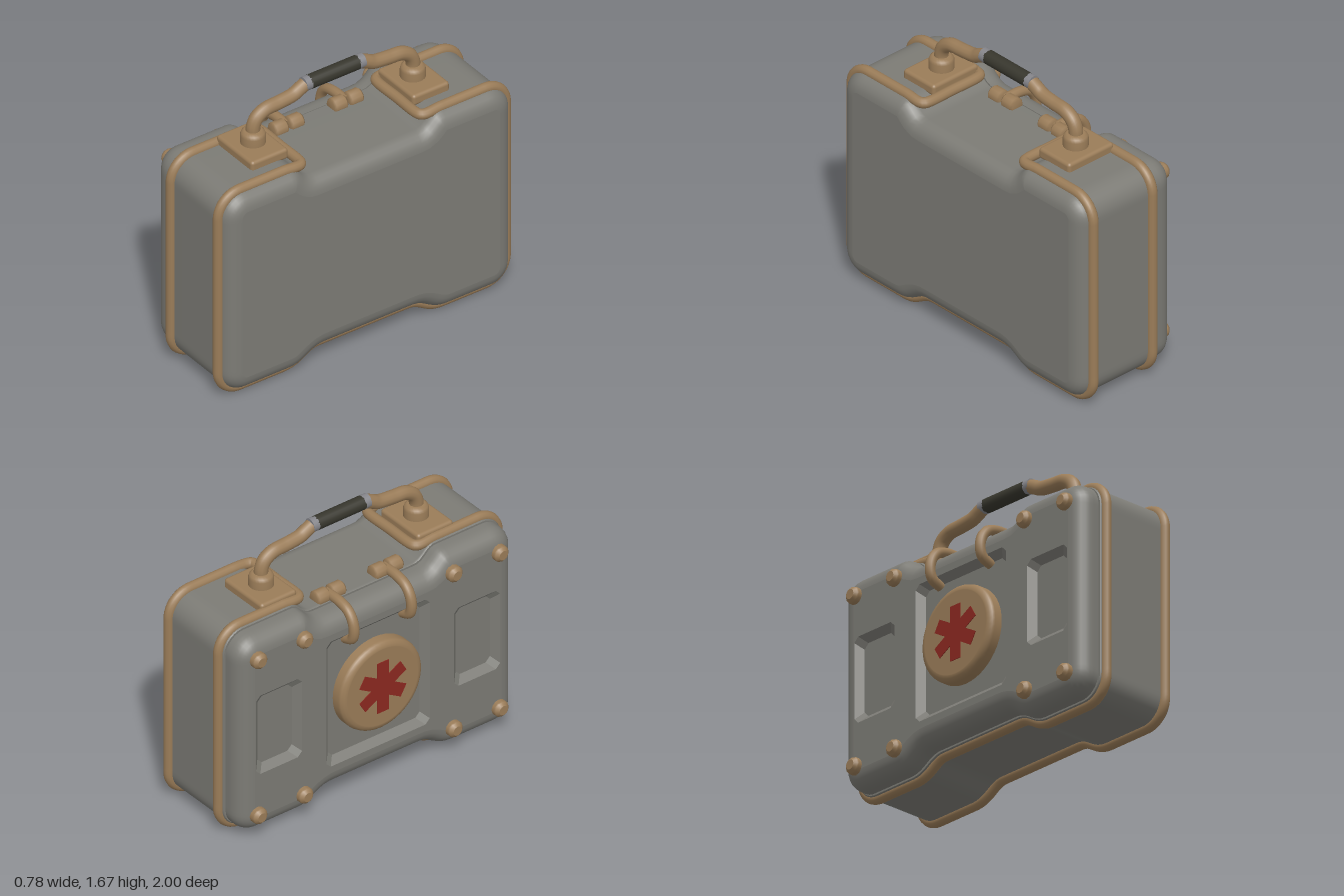
import * as THREE from 'three';
import { RoundedBoxGeometry } from 'three/addons/geometries/RoundedBoxGeometry.js';

const mat = (name, color) => Object.assign(new THREE.MeshStandardMaterial({ color }), { name });
const V = (x, y, z) => new THREE.Vector3(x, y, z);
const V2 = (x, y) => new THREE.Vector2(x, y);

// Right half of the case outline in (z, y), bottom centre to top centre
function halfOutline() {
  const p = new THREE.Path();
  p.moveTo(0, 0.115);
  p.lineTo(0.3, 0.115);
  p.bezierCurveTo(0.4, 0.115, 0.42, 0.035, 0.54, 0.035);
  p.lineTo(0.83, 0.035);
  p.absarc(0.83, 0.175, 0.14, -Math.PI / 2, 0);
  p.lineTo(0.97, 1.195);
  p.absarc(0.83, 1.195, 0.14, 0, Math.PI / 2);
  p.lineTo(0.5, 1.335);
  p.bezierCurveTo(0.44, 1.335, 0.42, 1.255, 0.36, 1.255);
  p.lineTo(0, 1.255);
  return p.getSpacedPoints(110);
}

// Moves a closed counter-clockwise outline inwards
function inset(pts, d) {
  const n = pts.length;
  return pts.map((p, i) => {
    const t = pts[(i + 1) % n].clone().sub(pts[(i + n - 1) % n]).normalize();
    return V2(p.x - t.y * d, p.y + t.x * d);
  });
}

// Skin between rings [x, points]; rising x faces outwards, falling x inwards
function loft(rings, flat = false) {
  const n = rings[0][1].length, pos = [], idx = [];
  rings.forEach(([x, pts]) => pts.forEach(p => pos.push(x, p.y, p.x)));
  for (let r = 0; r < rings.length - 1; r++) {
    for (let j = 0; j < n; j++) {
      const a = r * n + j, b = r * n + (j + 1) % n;
      idx.push(a, a + n, b, b, a + n, b + n);
    }
  }
  let g = new THREE.BufferGeometry();
  g.setAttribute('position', new THREE.Float32BufferAttribute(pos, 3));
  g.setIndex(idx);
  if (flat) g = g.toNonIndexed();
  g.computeVertexNormals();
  return g;
}

// Flat face at x, looking along dir (-1 or 1)
function cap(pts, x, dir, holes = []) {
  const s = new THREE.Shape(pts);
  holes.forEach(h => s.holes.push(new THREE.Path(h)));
  return new THREE.ShapeGeometry(s).rotateY(dir * Math.PI / 2).translate(x, 0, 0);
}

// Chamfered rectangle in (z, y), shrunk by t
function panel(z0, z1, y0, y1, t = 0) {
  const a = z0 + t, b = z1 - t, c = y0 + t, d = y1 - t, k = 0.03;
  return [V2(a + k, c), V2(b - k, c), V2(b, c + k), V2(b, d - k),
    V2(b - k, d), V2(a + k, d), V2(a, d - k), V2(a, c + k)];
}

export function createModel() {
  const model = new THREE.Group();
  model.name = 'medicalCase';
  const grey = mat('caseGrey', 0x7c7b75);
  const tan = mat('trimTan', 0x9a7c58);
  const dark = mat('gripDark', 0x37362d);
  const steel = mat('collarGrey', 0x85858a);
  const red = mat('emblemRed', 0x8c2820);

  const add = (name, geo, m, x = 0, y = 0, z = 0) => {
    const mesh = new THREE.Mesh(geo, m);
    mesh.name = name;
    mesh.position.set(x, y, z);
    model.add(mesh);
    return mesh;
  };
  const lathe = (pts, seg) => new THREE.LatheGeometry(pts.map(p => V2(...p)), seg);
  const tube = (pts, r, seg, closed = false) => new THREE.TubeGeometry(
    new THREE.CatmullRomCurve3(pts, closed, 'centripetal'), seg, r, 12, closed);

  const half = halfOutline();
  const outline = [...half, ...half.slice(1, -1).reverse().map(p => V2(-p.x, p.y))];

  // Main shell with rounded far edge
  const steps = [0, 1, 2, 3, 4, 5, 6].map(i => i / 6 * Math.PI / 2);
  const bodyRings = [[-0.178, inset(outline, 0.008)], [-0.168, outline], ...steps.map(a =>
    [0.3 + 0.09 * Math.sin(a), inset(outline, 0.1 * (1 - Math.cos(a)))])];
  add('bodyShell', loft(bodyRings), grey);
  add('bodyBack', cap(bodyRings.at(-1)[1], 0.39, 1), grey);
  add('bodyRim', cap(bodyRings[0][1], -0.178, -1), grey);

  // Dark seam between shell and lid
  const seam = inset(outline, 0.025);
  add('seam', loft([[-0.2, seam], [-0.17, seam]]), dark);

  // Lid with rounded edge and three sunken panels
  const lidRings = [...steps.map(a =>
    [-0.22 - 0.1 * Math.sin(a), inset(outline, 0.012 + 0.1 * (1 - Math.cos(a)))]).reverse(),
    [-0.187, inset(outline, 0.012)]];
  const panels = [[-0.36, 0.36, 0.27, 1.1], [-0.85, -0.53, 0.43, 0.95], [0.53, 0.85, 0.43, 0.95]];
  add('lidShell', loft(lidRings), grey);
  add('lidRim', cap(lidRings.at(-1)[1], -0.187, 1), grey);
  add('lidFace', cap(lidRings[0][1], -0.32, -1, panels.map(p => panel(...p))), grey);
  for (const p of panels) {
    const floor = panel(...p, 0.04);
    add('panelWalls', loft([[-0.28, floor], [-0.32, panel(...p)]], true), grey);
    add('panelFloor', cap(floor, -0.28, -1), grey);
  }

  // Round badge with six-armed emblem
  add('badge', lathe([[0.285, 0], [0.285, 0.05], [0.28, 0.066], [0.265, 0.078], [0.25, 0.082],
    [0.245, 0.082], [0, 0.082]], 48).rotateZ(Math.PI / 2), tan, -0.278, 0.685, 0);
  for (let i = 0; i < 3; i++) {
    add('emblemArm', new THREE.BoxGeometry(0.006, 0.33, 0.08), red, -0.361, 0.685, 0)
      .rotation.x = i * Math.PI / 3;
  }

  // Lid bolts
  const bolt = lathe([[0.05, 0], [0.05, 0.09], [0.046, 0.1], [0.03, 0.115], [0.029, 0.115],
    [0, 0.115]], 12).rotateZ(Math.PI / 2);
  for (const z of [-0.84, -0.52, 0.52, 0.84]) {
    for (const y of [0.17, 1.2]) add('bolt', bolt, tan, -0.25, y, z);
  }

  // Pipe trim: one loop round the case, crossing over the top at both shoulders
  const kept = half.filter(p => !(p.y > 1.2 && p.x < 0.52));
  const strip = x => [...kept.slice(1).reverse().map(p => V(x, p.y, p.x)),
    ...kept.map(p => V(x, p.y, -p.x))];
  const xa = -0.14, xb = 0.3, ty = 1.328;
  const cross = s => [[xa, 0.43], [xa + 0.012, 0.405], [xa + 0.04, 0.395], [0.08, 0.395],
    [xb - 0.04, 0.395], [xb - 0.012, 0.405], [xb, 0.43]].map(([x, z]) => V(x, ty, s * z));
  add('pipeTrim', tube([...strip(xa), ...cross(-1), ...strip(xb).reverse(),
    ...cross(1).reverse()], 0.031, 600, true), tan);

  for (const s of [-1, 1]) {
    // Handle mount and bent arm
    add('handlePlate', new RoundedBoxGeometry(0.34, 0.07, 0.25, 3, 0.02), tan, 0.03, 1.352, s * 0.545);
    add('handleBoss', lathe([[0.072, 0], [0.072, 0.05], [0.066, 0.068], [0.05, 0.08], [0, 0.08]], 24),
      tan, 0.03, 1.385, s * 0.54);
    add('handleArm', tube([[0.54, 1.42], [0.538, 1.49], [0.515, 1.535], [0.46, 1.567], [0.37, 1.575],
      [0.27, 1.588], [0.23, 1.607], [0.19, 1.626]].map(([z, y]) => V(0.03, y, s * z)), 0.041, 40), tan);
    add('gripCollar', new THREE.CylinderGeometry(0.042, 0.042, 0.04, 20).rotateX(Math.PI / 2),
      steel, 0.03, 1.628, s * 0.18);

    // Latch: split barrel on top, bent bar over the lid
    for (const d of [-0.053, 0.053]) {
      add('latchBarrel', lathe([[0, -0.046], [0.038, -0.046], [0.048, -0.034], [0.048, 0.034],
        [0.038, 0.046], [0, 0.046]], 12).rotateX(Math.PI / 2), tan, -0.13, 1.265, s * 0.2 + d);
    }
    add('latchBar', tube([[-0.12, 1.27], [-0.24, 1.268], [-0.31, 1.245], [-0.35, 1.195], [-0.362, 1.13],
      [-0.345, 1.08], [-0.28, 1.05]].map(([x, y]) => V(x, y, s * 0.2)), 0.03, 32), tan);
  }

  // Dark hand grip
  add('grip', new THREE.CylinderGeometry(0.042, 0.042, 0.33, 20).rotateX(Math.PI / 2), dark, 0.03, 1.628, 0);

  return model;
}
